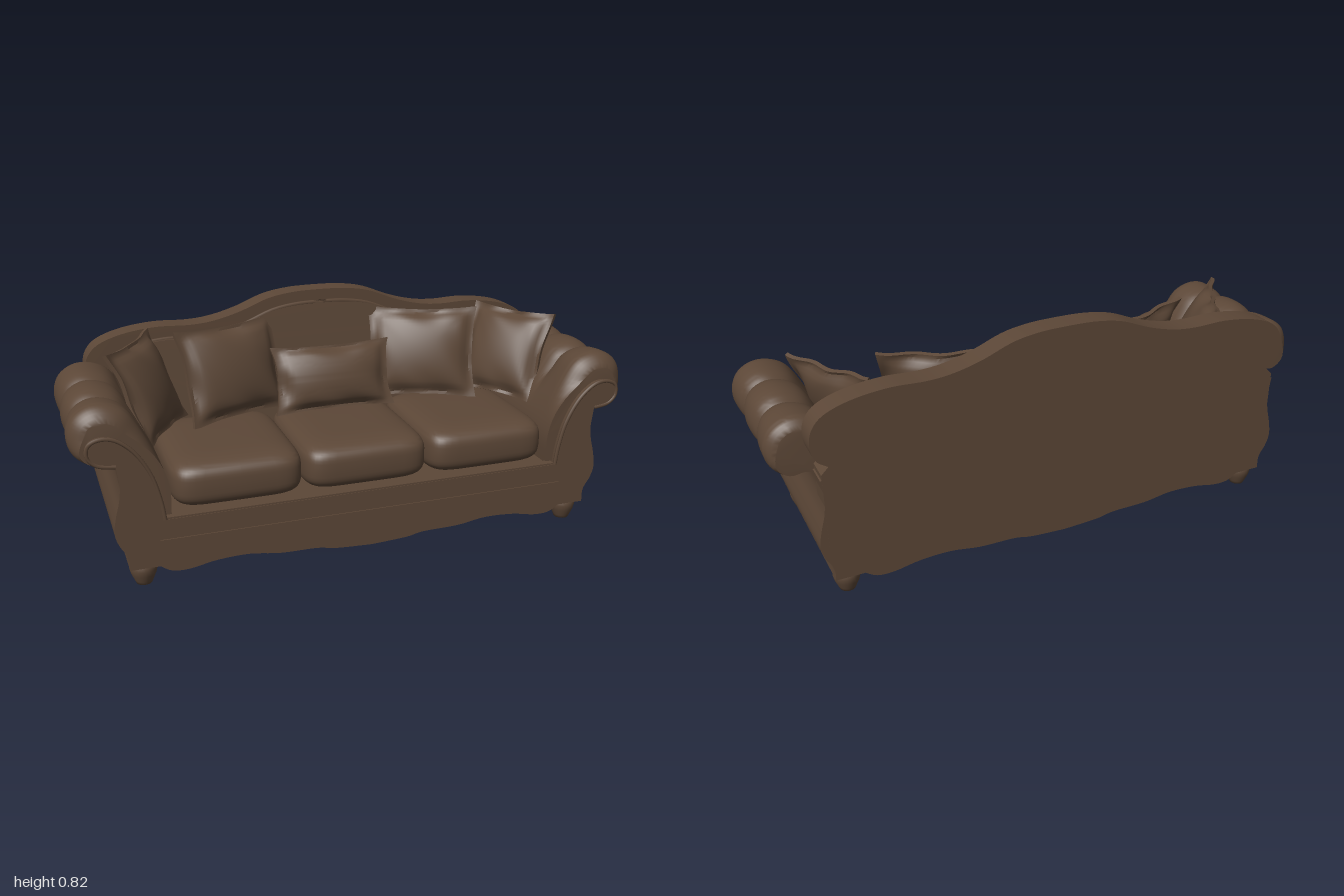
import * as THREE from 'three';
import { mergeVertices, toCreasedNormals } from 'three/addons/utils/BufferGeometryUtils.js';

const brown = new THREE.MeshStandardMaterial({ color: 0x5c4737 });
brown.name = 'brown upholstery';

// Smooth 2D curve through [x, y] points
const curve = (pts, n = 40) =>
  new THREE.SplineCurve(pts.map(([x, y]) => new THREE.Vector2(x, y))).getPoints(n);

// Closed shape from a right-hand outline (bottom centre to top centre) and its mirror
const symmetric = (half) =>
  new THREE.Shape([...half, ...half.slice().reverse().map((p) => new THREE.Vector2(-p.x, p.y))]);

const flip = (pts, s) => pts.map((p) => new THREE.Vector2(p.x * s, p.y));

// Move every vertex by a rule, then rebuild normals
function shapeBy(geo, rule, crease = 0.7) {
  const p = geo.attributes.position;
  const v = new THREE.Vector3();
  for (let i = 0; i < p.count; i++) {
    v.fromBufferAttribute(p, i);
    rule(v);
    p.setXYZ(i, v.x, v.y, v.z);
  }
  geo.deleteAttribute('normal');
  geo.deleteAttribute('uv');
  const merged = mergeVertices(geo, 1e-5);
  merged.computeVertexNormals();
  return toCreasedNormals(merged, crease);
}

// Outline extruded from z0 to z1
function slab(shape, z0, z1, steps = 1, rule = () => {}) {
  const geo = new THREE.ExtrudeGeometry(shape, { depth: z1 - z0, steps, bevelEnabled: false });
  geo.translate(0, 0, z0);
  return shapeBy(geo, rule);
}

// Puffy seat cushion: a rounded block from a sphere
function seatCushion(w, h, d) {
  const soft = (t, e) => Math.sign(t) * Math.abs(t) ** e;
  return shapeBy(new THREE.SphereGeometry(1, 48, 32), (v) => {
    const r = Math.hypot(v.x, v.z);
    const ring = soft(r, 0.42);
    const cx = r > 1e-6 ? v.x / r : 0;
    const cz = r > 1e-6 ? v.z / r : 0;
    v.set((soft(cx, 0.3) * ring * w) / 2, (soft(v.y, 0.55) * h) / 2, (soft(cz, 0.3) * ring * d) / 2);
  }, 1.2);
}

// Throw pillow with pinched sides, pointed corners and a flat flange
function pillowGeometry(w, h, t) {
  return shapeBy(new THREE.BoxGeometry(2, 2, 2, 28, 28, 1), (v) => {
    const { x: u, y: k } = v;
    const a = Math.min(1, Math.abs(u) / 0.87);
    const b = Math.min(1, Math.abs(k) / 0.87);
    const puff = ((1 - a * a) * (1 - b * b)) ** 0.45;
    const ripple = 0.006 * Math.sin(u * 7 + k * 5) * Math.max(a, b) ** 4;
    v.set(
      (w / 2) * u * (1 - 0.08 * (1 - k * k)),
      (h / 2) * k * (1 - 0.08 * (1 - u * u)),
      Math.sign(v.z) * (0.007 + t * puff) + ripple
    );
  });
}

export function createModel() {
  const sofa = new THREE.Group();
  sofa.name = 'sofa';
  const add = (name, geo, x = 0, y = 0, z = 0) => {
    const mesh = new THREE.Mesh(geo, brown);
    mesh.name = name;
    mesh.position.set(x, y, z);
    sofa.add(mesh);
    return mesh;
  };
  const piping = (name, pts, z, r = 0.007) => {
    const path = new THREE.CatmullRomCurve3(pts.map((p) => new THREE.Vector3(p.x, p.y, z)));
    add(name, new THREE.TubeGeometry(path, 60, r, 6));
  };

  // Frame: scalloped base with the flared outer sides
  const scallop = curve([[0, 0.033], [0.13, 0.04], [0.2, 0.052], [0.33, 0.055], [0.44, 0.07],
    [0.55, 0.066], [0.64, 0.05], [0.7, 0.052], [0.74, 0.075]]);
  const side = curve([[0.84, 0.075], [0.842, 0.125], [0.868, 0.17], [0.88, 0.215], [0.872, 0.27],
    [0.857, 0.33], [0.852, 0.39], [0.86, 0.455]]);
  const inner = curve([[0.8, 0.47], [0.76, 0.38], [0.73, 0.24]], 10);
  add('frame', slab(symmetric([...scallop, ...side, ...inner, new THREE.Vector2(0, 0.24)]), -0.335, 0.335));
  add('frontMoulding', new THREE.BoxGeometry(1.47, 0.01, 0.012), 0, 0.165, 0.333);
  add('seatRail', new THREE.BoxGeometry(1.42, 0.016, 0.03), 0, 0.238, 0.318);

  // Camel back with rounded ends
  const crest = [[0.83, 0.5], [0.868, 0.53], [0.882, 0.58], [0.872, 0.635], [0.83, 0.68], [0.74, 0.712],
    [0.62, 0.727], [0.5, 0.724], [0.41, 0.732], [0.31, 0.758], [0.2, 0.8], [0.1, 0.817], [0, 0.82]];
  const foot = [new THREE.Vector2(0, 0.2), new THREE.Vector2(0.85, 0.2), new THREE.Vector2(0.855, 0.475)];
  add('back', slab(symmetric([...foot, ...curve(crest, 70)]), -0.336, -0.25));

  // Sloping padding on the inside of the back
  const padTop = curve(crest.slice(4).map(([x, y]) => [x * 0.95, y - 0.045]), 50);
  const padFoot = [new THREE.Vector2(0, 0.24), new THREE.Vector2(0.74, 0.24)];
  add('backPadding', slab(symmetric([...padFoot, ...padTop]), -0.26, -0.235, 1, (v) => {
    if (v.z > -0.25) v.z += 0.1 * Math.max(0, 0.78 - v.y);
  }));
  piping('backPiping', [...padTop, ...flip(padTop, -1).reverse()], -0.24, 0.008);

  // Rolled arms, each with a padded roll, a scroll panel and piping
  const roll = curve([[0.69, 0.24], [0.69, 0.34], [0.715, 0.43], [0.765, 0.54], [0.81, 0.605], [0.87, 0.633],
    [0.93, 0.63], [0.98, 0.595], [1.0, 0.535], [0.985, 0.475], [0.935, 0.442], [0.87, 0.442], [0.79, 0.4],
    [0.76, 0.24]], 60);
  const panelInner = curve([[0.715, 0.24], [0.725, 0.31], [0.75, 0.4], [0.795, 0.48], [0.85, 0.53],
    [0.9, 0.542], [0.94, 0.525], [0.945, 0.485], [0.915, 0.455], [0.86, 0.445]], 50);
  const panel = [...panelInner, new THREE.Vector2(0.852, 0.38), new THREE.Vector2(0.855, 0.24)];
  const seams = [0.13, -0.06];
  const tuft = (v, s) => {
    // Pull the roll inwards at its two seams and at both ends
    let dent = 0;
    for (const z of seams) dent += 0.028 * Math.exp(-Math.abs(v.z - z) / 0.035);
    dent += 0.05 * Math.max(0, (v.z - 0.24) / 0.07) ** 2.5;
    dent += 0.035 * Math.max(0, (-0.2 - v.z) / 0.05) ** 2.5;
    const dx = 0.88 * s - v.x;
    const dy = 0.53 - v.y;
    const k = (dent * THREE.MathUtils.smoothstep(v.y, 0.4, 0.56)) / Math.max(0.05, Math.hypot(dx, dy));
    v.x += dx * k;
    v.y += dy * k;
  };
  for (const [s, label] of [[1, 'left'], [-1, 'right']]) {
    add(label + 'ArmRoll', slab(new THREE.Shape(flip(roll, s)), -0.25, 0.31, 56, (v) => tuft(v, s)));
    add(label + 'ArmPanel', slab(new THREE.Shape(flip(panel, s)), 0.29, 0.336));
    piping(label + 'ArmPiping', flip(panelInner, s), 0.333);

    // Turned feet
    const profile = [[0, 0], [0.027, 0], [0.032, 0.012], [0.042, 0.035], [0.047, 0.055], [0.045, 0.068], [0.04, 0.08]]
      .map(([r, y]) => new THREE.Vector2(r, y));
    for (const z of [0.28, -0.28]) add(label + 'Foot', new THREE.LatheGeometry(profile, 24), s * 0.79, 0, z);
  }

  // Three seat cushions
  for (const i of [-1, 0, 1]) {
    add('seatCushion', seatCushion(0.456, 0.175, 0.52), i * 0.455, 0.327, 0.065);
  }

  // Throw pillows fanned around the back: x, y, z, width, height, lean, turn
  const pillow = (x, y, z, w, h, lean, turn) =>
    add('throwPillow', pillowGeometry(w, h, 0.05), x, y, z).rotation.set(-lean, turn, 0, 'YXZ');
  pillow(0, 0.525, -0.09, 0.46, 0.25, 0.3, 0);
  for (const s of [-1, 1]) {
    pillow(s * 0.37, 0.575, -0.125, 0.42, 0.35, 0.3, -s * 0.36);
    pillow(s * 0.69, 0.565, -0.06, 0.35, 0.35, 0.38, -s * 1.02);
  }
  return sofa;
}
